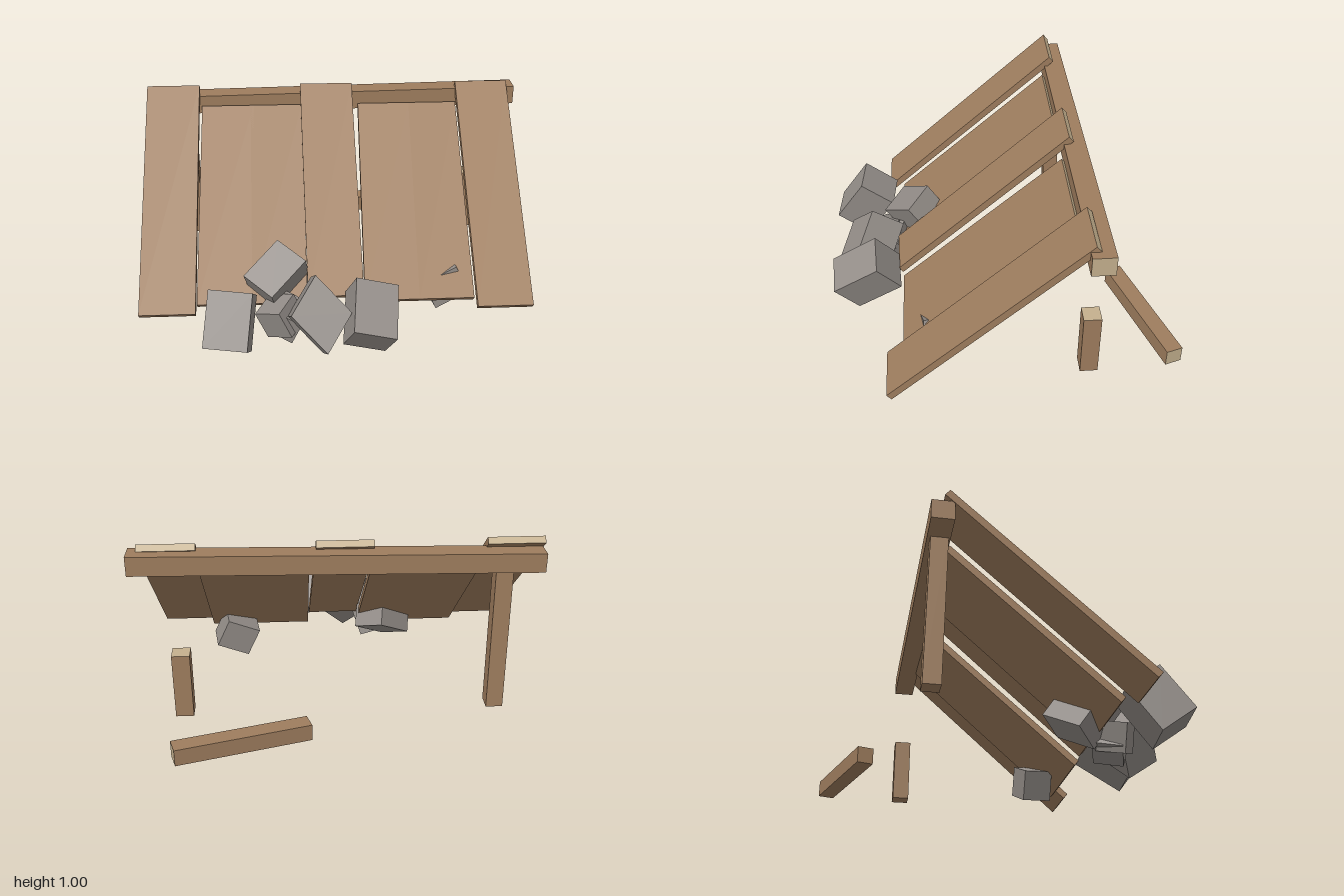
import * as THREE from 'three';

const wood = new THREE.MeshStandardMaterial({ color: 0x9e7d5e });
wood.name = 'wood';
const endGrain = new THREE.MeshStandardMaterial({ color: 0xc4b08e });
endGrain.name = 'end grain';
const stone = new THREE.MeshStandardMaterial({ color: 0x938d88 });
stone.name = 'stone';

// Timber has pale end grain on its +y (length axis) end only
const timber = [wood, wood, endGrain, wood, wood, wood];

// Box spanned by three edge vectors around a centre
function block(name, material, center, u, v, w) {
  const U = new THREE.Vector3(...u);
  const V = new THREE.Vector3(...v);
  const W = new THREE.Vector3(...w);
  if (U.clone().cross(V).dot(W) < 0) W.negate();
  const geometry = new THREE.BoxGeometry(1, 1, 1);
  geometry.applyMatrix4(new THREE.Matrix4().makeBasis(U, V, W));
  const mesh = new THREE.Mesh(geometry, material);
  mesh.name = name;
  mesh.position.set(...center);
  return mesh;
}

// Sloping plank; low and high are [y, z] of its upper surface at each end
const THICK = 0.036;
function plank(name, xTop, xBottom, width, low, high) {
  const dy = high[0] - low[0], dz = high[1] - low[1];
  const len = Math.hypot(dy, dz);
  const ny = -dz / len, nz = dy / len;
  const center = [
    (xTop + xBottom) / 2,
    (low[0] + high[0]) / 2 - ny * THICK / 2,
    (low[1] + high[1]) / 2 - nz * THICK / 2,
  ];
  return block(name, timber, center, [width, 0, 0],
    [xTop - xBottom, dy, dz], [0, ny * THICK, nz * THICK]);
}

export function createModel() {
  const model = new THREE.Group();
  model.name = 'collapsedLeanTo';

  // Cover planks lying on top
  const top = [1.005, -0.375];
  model.add(plank('coverPlankRight', -0.86, -0.86, 0.28, [0.165, 0.57], top));
  model.add(plank('coverPlankMiddle', -0.036, -0.022, 0.28, [0.214, 0.515], top));
  model.add(plank('coverPlankLeft', 0.812, 0.826, 0.28, [0.165, 0.57], top));

  // Base planks, laid in two touching pairs below
  const baseLow = [0.165, 0.49], baseHigh = [0.9, -0.337];
  for (const [xTop, xBottom] of [[-0.57, -0.581], [-0.308, -0.304], [0.276, 0.264], [0.533, 0.542]]) {
    model.add(plank('basePlank', xTop, xBottom, 0.278, baseLow, baseHigh));
  }

  // Ridge beam and its posts, one whole and one broken
  model.add(block('ridgeBeam', timber, [0, 0.913, -0.405],
    [0, 0, 0.11], [1.99, 0.03, 0], [0, 0.098, 0]));
  model.add(block('tallPost', timber, [-0.8, 0.49, -0.409],
    [0.085, 0, 0], [0, 0.78, 0.016], [0, 0, 0.085]));
  model.add(block('brokenPost', timber, [0.775, 0.272, -0.416],
    [0.09, 0, 0], [0, 0.345, 0], [0, 0, 0.088]));

  // Broken piece lying on the ground
  model.add(block('fallenBeam', timber, [0.475, 0.138, -0.746],
    [0.025, 0, 0.081], [0.645, 0.012, -0.193], [0, 0.086, 0]));

  // Tumbled stones: centre and three edge vectors each
  const stones = [
    [[-0.54, 0.21, 0.70], [0.21, -0.015, 0.022], [-0.03, -0.225, 0.155], [0.01, -0.125, -0.175]],
    [[0.138, 0.213, 0.683], [0.205, -0.055, -0.01], [-0.025, -0.15, 0.235], [-0.045, -0.155, -0.12]],
    [[-0.112, 0.212, 0.67], [0.17, -0.16, 0.09], [-0.12, -0.15, 0.12], [-0.02, -0.113, -0.163]],
    [[-0.312, 0.253, 0.395], [-0.17, -0.12, 0.14], [0.14, -0.06, 0.11], [0.026, -0.204, -0.144]],
    [[0.538, 0.164, 0.321], [0.17, 0.08, -0.03], [0.07, -0.15, 0], [-0.023, -0.011, -0.158]],
    [[-0.3, 0.14, 0.565], [0.12, 0.05, 0.08], [-0.06, 0.14, 0], [-0.072, -0.031, 0.128]],
    [[-0.26, 0.12, 0.55], [0.13, -0.06, 0.04], [0.05, 0.14, 0.05], [-0.056, -0.03, 0.14]],
  ];
  for (const [center, u, v, w] of stones) model.add(block('stone', stone, center, u, v, w));

  return model;
}
